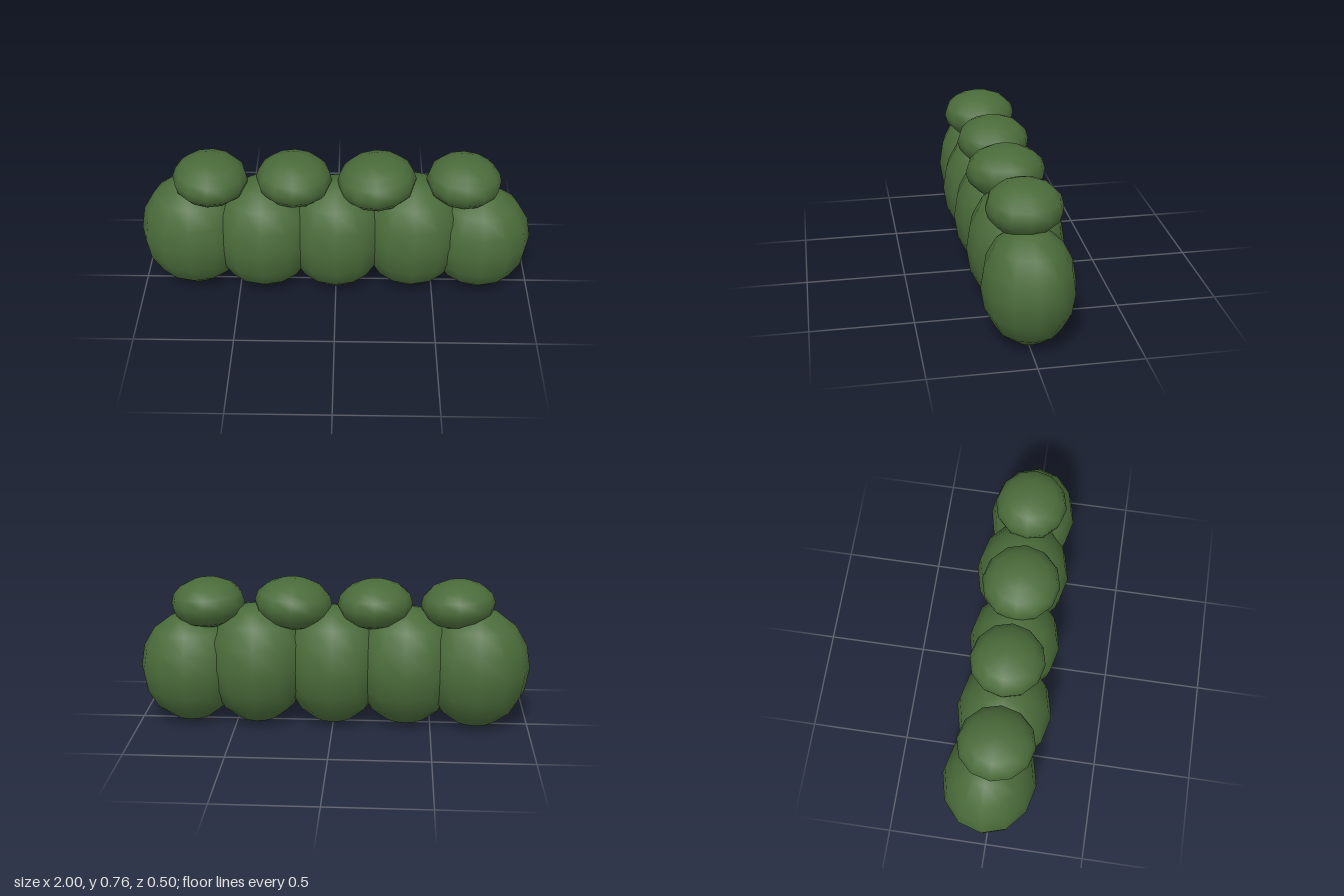
import * as THREE from 'three';

export function createModel() {
  const group = new THREE.Group();
  group.name = 'hedge';
  const leafGreen = new THREE.MeshStandardMaterial({ color: 0x4a6b3a });
  leafGreen.name = 'leafGreen';
  const ball = new THREE.SphereGeometry(1, 12, 8);

  // One squashed ball of foliage
  const addClump = (name, [x, y, z, rx, ry, rz, tilt = 0]) => {
    const mesh = new THREE.Mesh(ball, leafGreen);
    mesh.name = name;
    mesh.position.set(x, y, z);
    mesh.scale.set(rx, ry, rz);
    mesh.rotation.z = tilt;
    group.add(mesh);
  };

  // Row of tall bushes: centre, radii
  [
    [-0.73, 0.32, -0.015, 0.27, 0.313, 0.235],
    [-0.37, 0.32, 0.005, 0.27, 0.312, 0.24],
    [0, 0.32, 0.003, 0.26, 0.315, 0.233],
    [0.39, 0.325, -0.01, 0.265, 0.318, 0.24],
    [0.738, 0.295, -0.006, 0.257, 0.288, 0.222],
  ].forEach((bush, i) => addClump(`bush${i + 1}`, bush));

  // Rounded tufts on top: centre, radii, tilt
  [
    [-0.627, 0.645, 0.008, 0.188, 0.122, 0.19, -0.06],
    [-0.21, 0.642, 0, 0.19, 0.124, 0.186, -0.04],
    [0.203, 0.638, 0.006, 0.198, 0.129, 0.196, 0.08],
    [0.637, 0.639, -0.004, 0.188, 0.125, 0.182, -0.05],
  ].forEach((tuft, i) => addClump(`topTuft${i + 1}`, tuft));

  return group;
}
